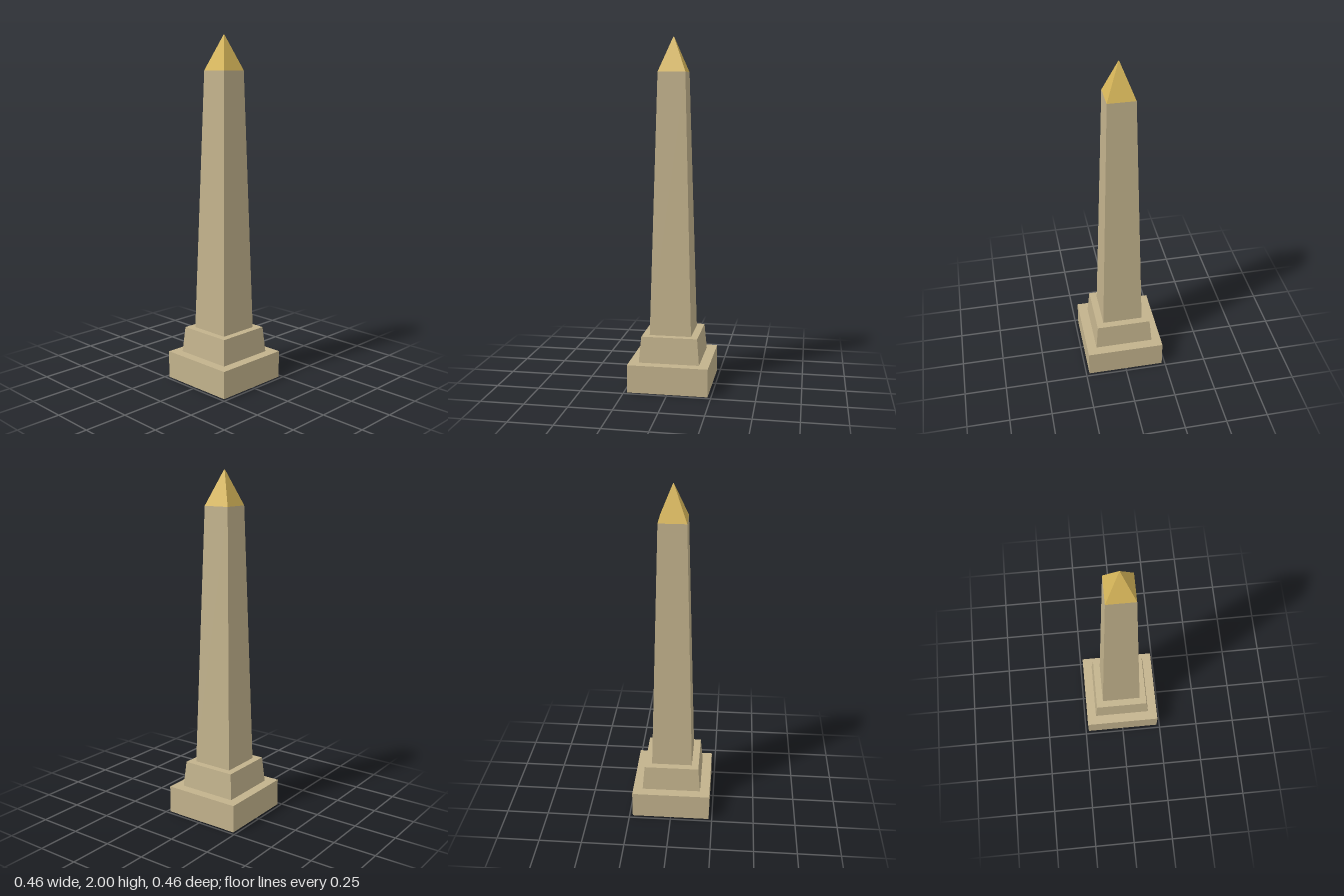
import * as THREE from 'three';

// Square block that tapers from one half-width to another
function taperedBlock(name, material, bottomHalf, topHalf, y0, y1) {
  const geometry = new THREE.CylinderGeometry(
    topHalf * Math.SQRT2, bottomHalf * Math.SQRT2, y1 - y0, 4, 1
  ).toNonIndexed();
  geometry.rotateY(Math.PI / 4);
  geometry.computeVertexNormals(); // flat faces
  const mesh = new THREE.Mesh(geometry, material);
  mesh.name = name;
  mesh.position.y = (y0 + y1) / 2;
  return mesh;
}

export function createModel() {
  const group = new THREE.Group();
  group.name = 'obelisk';

  const stone = new THREE.MeshStandardMaterial({ color: 0xc2b28c });
  stone.name = 'sandstone';
  const gold = new THREE.MeshStandardMaterial({ color: 0xd8b75a });
  gold.name = 'gold';

  group.add(
    taperedBlock('base', stone, 0.231, 0.231, 0, 0.161),
    taperedBlock('pedestal', stone, 0.174, 0.161, 0.161, 0.311),
    taperedBlock('shaft', stone, 0.12, 0.078, 0.311, 1.806),
    taperedBlock('cap', gold, 0.078, 0.002, 1.806, 2)
  );
  return group;
}
